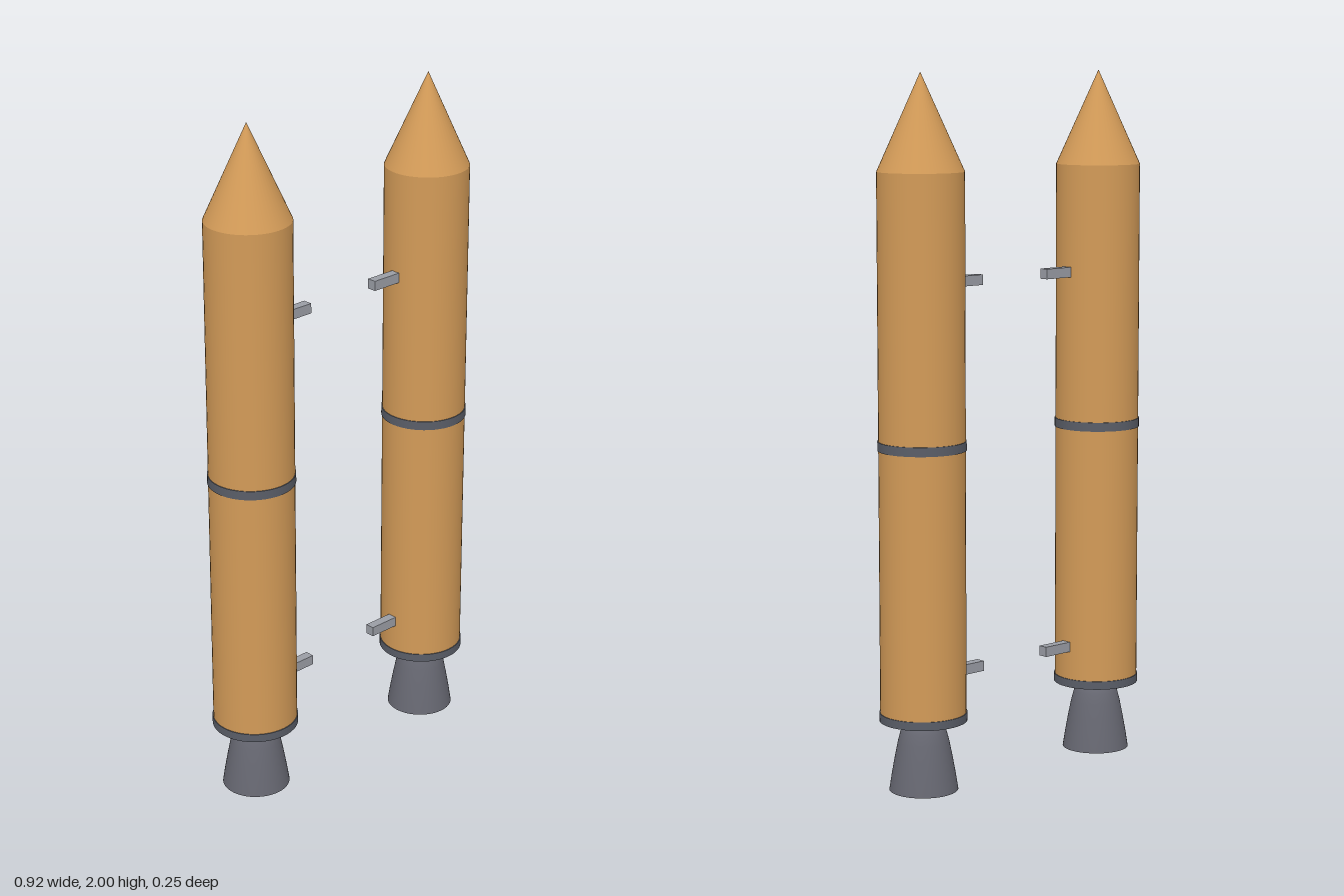
import * as THREE from 'three';

const mat = (name, color, extra = {}) => {
  const m = new THREE.MeshStandardMaterial({ color, ...extra });
  m.name = name;
  return m;
};

export function createModel() {
  const tan = mat('tan insulation', 0xd39b58);
  const band = mat('dark grey band', 0x5a5e68);
  const bell = mat('nozzle grey', 0x676872, { side: THREE.DoubleSide });
  const steel = mat('strut grey', 0x9a9da5);

  const add = (parent, name, geometry, material, x, y) => {
    const mesh = new THREE.Mesh(geometry, material);
    mesh.name = name;
    mesh.position.set(x, y, 0);
    parent.add(mesh);
  };

  // Bell profile, from exit rim up to the throat
  const bellProfile = [
    [0.097, 0], [0.09, 0.045], [0.081, 0.095], [0.072, 0.14],
    [0.064, 0.17], [0.055, 0.19], [0.042, 0.202],
  ].map(([r, y]) => new THREE.Vector2(r, y));

  const model = new THREE.Group();
  model.name = 'boosterPair';

  for (const side of [1, -1]) {
    const booster = new THREE.Group();
    booster.name = side > 0 ? 'leftBooster' : 'rightBooster';
    booster.position.x = side * 0.337;
    model.add(booster);

    // Tank and pointed nose
    add(booster, 'body', new THREE.CylinderGeometry(0.121, 0.121, 1.529, 48), tan, 0, 0.9665);
    add(booster, 'noseCone', new THREE.ConeGeometry(0.121, 0.269, 48, 1, true), tan, 0, 1.8655);

    // Bands slightly proud of the tank
    add(booster, 'middleBand', new THREE.CylinderGeometry(0.1235, 0.1235, 0.026, 48), band, 0, 0.978);
    add(booster, 'baseBand', new THREE.CylinderGeometry(0.1235, 0.1235, 0.024, 48), band, 0, 0.212);

    // Open engine bell
    add(booster, 'nozzle', new THREE.LatheGeometry(bellProfile, 48), bell, 0, 0);

    // Attachment struts reaching inwards
    for (const [name, y] of [['upperStrut', 1.424], ['lowerStrut', 0.321]]) {
      add(booster, name, new THREE.BoxGeometry(0.105, 0.029, 0.028), steel, -side * 0.1625, y);
    }
  }
  return model;
}
